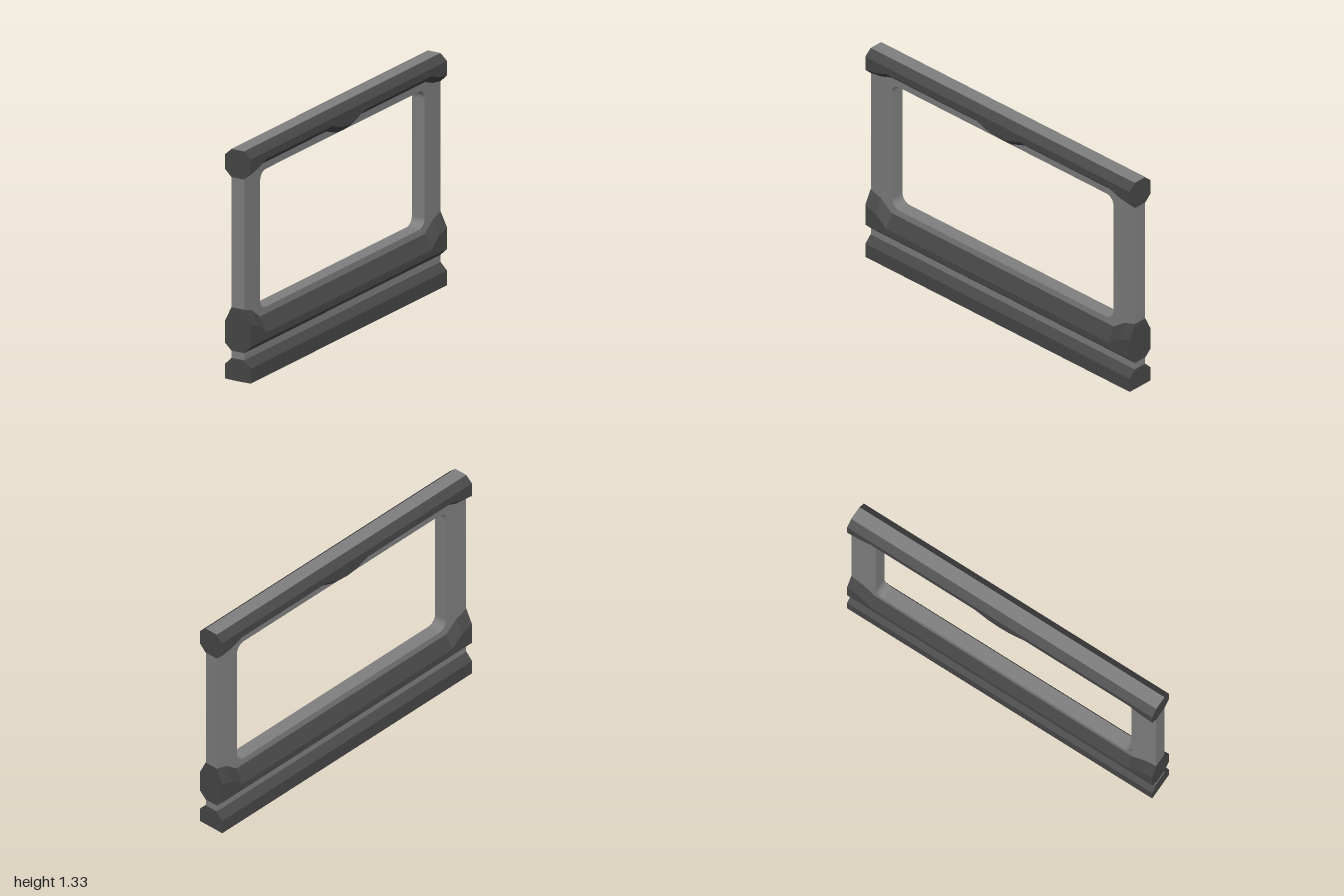
import * as THREE from 'three';

const W = 0.083; // rail half width
const T = 0.041; // panel half thickness

const panelMat = new THREE.MeshStandardMaterial({ color: 0x7f7f7f, flatShading: true });
const railMat = new THREE.MeshStandardMaterial({ color: 0x474747, flatShading: true });

// Lofts a symmetric convex section along z; section(shift) lists its right half from bottom to top
function rail(name, stations, section) {
  const pos = [], idx = [];
  let n = 0;
  for (const [z, shift] of stations) {
    const right = section(shift);
    const ring = [...right, ...right.slice().reverse().map(([x, y]) => [-x, y])];
    n = ring.length;
    ring.forEach(([x, y]) => pos.push(x, y, z));
  }
  const last = (stations.length - 1) * n;
  for (let s = 0; s < last; s += n) {
    for (let j = 0; j < n; j++) {
      const a = s + j, b = s + (j + 1) % n;
      idx.push(a, a + n, b, b, a + n, b + n);
    }
  }
  for (let j = 1; j < n - 1; j++) {
    idx.push(0, j, j + 1, last, last + j + 1, last + j);
  }
  const indexed = new THREE.BufferGeometry();
  indexed.setAttribute('position', new THREE.Float32BufferAttribute(pos, 3));
  indexed.setIndex(idx);
  const geo = indexed.toNonIndexed();
  geo.computeVertexNormals();
  const mesh = new THREE.Mesh(geo, railMat);
  mesh.name = name;
  return mesh;
}

// Mirrors stations given from the front end to the middle
function mirrored(half) {
  const back = half.filter(([z]) => z > 0).reverse().map(([z, s]) => [-z, s]);
  return [...half, ...back];
}

// Upright panel with a rounded window, its edges showing along the top and bottom
function panel() {
  const zEnd = 0.998, top = 1.333;
  const shape = new THREE.Shape();
  shape.moveTo(-zEnd, 0).lineTo(zEnd, 0).lineTo(zEnd, top).lineTo(-zEnd, top).closePath();
  const w = 0.837, y0 = 0.375, y1 = 1.17, r = 0.055;
  const hole = new THREE.Path();
  hole.absarc(w - r, y0 + r, r, -Math.PI / 2, 0);
  hole.absarc(w - r, y1 - r, r, 0, Math.PI / 2);
  hole.absarc(-w + r, y1 - r, r, Math.PI / 2, Math.PI);
  hole.absarc(-w + r, y0 + r, r, Math.PI, Math.PI * 1.5);
  hole.closePath();
  shape.holes.push(hole);
  const geo = new THREE.ExtrudeGeometry(shape, { depth: T * 2, bevelEnabled: false, curveSegments: 6 });
  geo.translate(0, 0, -T);
  geo.rotateY(-Math.PI / 2);
  const mesh = new THREE.Mesh(geo, panelMat);
  mesh.name = 'windowPanel';
  return mesh;
}

export function createModel() {
  const group = new THREE.Group();
  group.name = 'windowFrame';
  group.add(panel());

  // Top rail: underside dips at the ends and in the middle
  const dips = mirrored([[1, 0.04], [0.92, 0.028], [0.84, 0], [0.165, 0], [0.07, 0.034], [0, 0.04]]);
  group.add(rail('topRail', dips, (d) => [
    [T, 1.21 - d], [W, 1.25 - d], [W, 1.294], [T, 1.331],
  ]));

  // Sill rail: sloped top rises towards the ends
  const rises = mirrored([[1, 0.085], [0.92, 0.06], [0.84, 0]]);
  group.add(rail('sillRail', rises, (d) => [
    [T, 0.17], [W, 0.21], [W, 0.25 + d], [T, 0.335 + d],
  ]));

  // Base rail: flat foot with chamfered top
  group.add(rail('baseRail', [[1, 0], [-1, 0]], () => [
    [W, 0.002], [W, 0.086], [T, 0.128],
  ]));

  return group;
}
